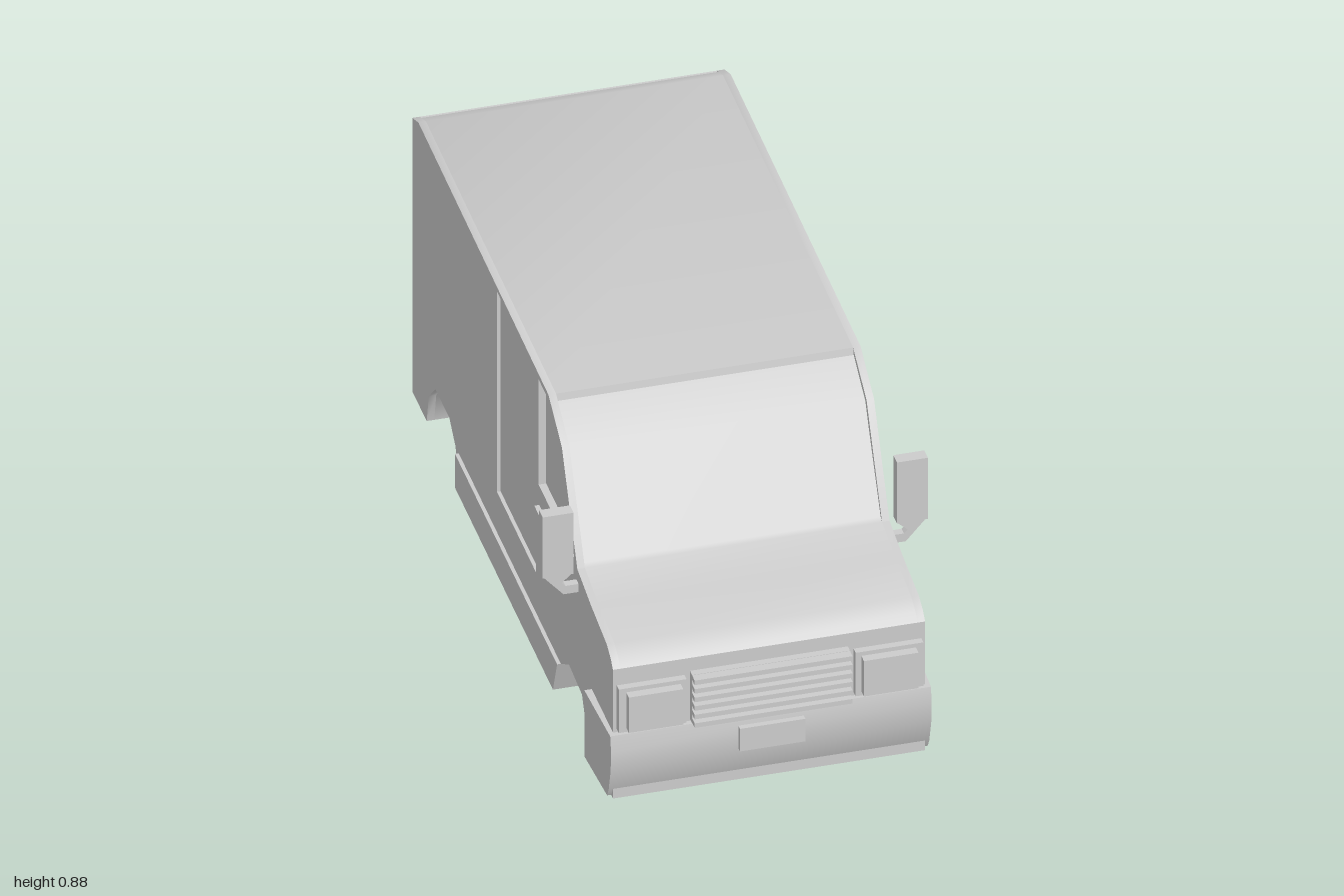
import * as THREE from 'three';
import { toCreasedNormals } from 'three/addons/utils/BufferGeometryUtils.js';

const material = new THREE.MeshStandardMaterial({ color: 0xcccccc });
const WIDE = 0.415, CORE = 0.395; // half widths of the outer skin and the inner core

const vecs = (pts) => pts.map(([a, b]) => new THREE.Vector2(a, b));
const rect = (a0, b0, a1, b1) => [[a0, b0], [a1, b0], [a1, b1], [a0, b1]];

function shapeOf(pts, holes = []) {
  const shape = new THREE.Shape(vecs(pts));
  for (const h of holes) shape.holes.push(new THREE.Path(vecs(h)));
  return shape;
}

export function createModel() {
  const model = new THREE.Group();

  const add = (name, geometry) => {
    const mesh = new THREE.Mesh(geometry, material);
    mesh.name = name;
    model.add(mesh);
    return mesh;
  };
  const extrude = (pts, depth, holes) =>
    new THREE.ExtrudeGeometry(shapeOf(pts, holes), { depth, bevelEnabled: false });

  // (z, y) outline extruded across the vehicle from x0 to x1
  const across = (pts, x0, x1, holes) => {
    const g = extrude(pts, x1 - x0, holes);
    g.rotateY(-Math.PI / 2);
    g.translate(x1, 0, 0);
    return toCreasedNormals(g, 0.62);
  };
  // (x, y) outline extruded lengthwise from z0 to z1
  const along = (pts, z0, z1, holes) => extrude(pts, z1 - z0, holes).translate(0, 0, z0);
  const box = (name, x0, x1, y0, y1, z0, z1) =>
    add(name, new THREE.BoxGeometry(x1 - x0, y1 - y0, z1 - z0)
      .translate((x0 + x1) / 2, (y0 + y1) / 2, (z0 + z1) / 2));

  // Side outline pieces, given as (z, y)
  const hood = [[0.955, 0.02], [0.955, 0.42], [0.935, 0.44], [0.895, 0.46], [0.74, 0.48], [0.61, 0.505]];
  const roof = [[0.33, 0.862], [-0.93, 0.875]];
  const underside = [
    [-0.85, 0], [-0.83, 0.09], [-0.765, 0.155], [-0.63, 0.155], [-0.57, 0.105], [-0.54, 0],
    [0.41, 0], [0.45, 0.105], [0.53, 0.155], [0.655, 0.145], [0.68, 0.1], [0.75, 0.02],
  ];

  // Inner core with the recessed windscreen and rear
  add('bodyCore', across([
    ...hood, [0.597, 0.512], [0.447, 0.772], [0.335, 0.842], ...roof,
    [-0.975, 0.856], [-0.975, 0], ...underside,
  ], -CORE, CORE));

  // Outer side skins with window, door and panel openings
  const outline = [...hood, [0.46, 0.785], ...roof, [-0.99, 0.85], [-0.99, 0], ...underside];
  const cabWindow = [[0.235, 0.52], [0.58, 0.52], [0.45, 0.773], [0.33, 0.847], [0.235, 0.847]];
  const door = rect(-0.17, 0.23, 0.21, 0.853);
  const doorInner = rect(-0.165, 0.235, 0.2, 0.848);
  const doorWindow = rect(-0.125, 0.545, 0.165, 0.815);
  const sidePanel = rect(-0.485, 0.4, -0.215, 0.49);
  const sill = [[-0.54, 0], [0.41, 0], [0.45, 0.105], [-0.54, 0.105]];

  for (const s of [-1, 1]) {
    const left = s > 0;
    const side = left ? 'left' : 'right';
    const span = (pts, a, b, holes) => across(pts, Math.min(s * a, s * b), Math.max(s * a, s * b), holes);
    add(side + 'BodySide', span(outline, CORE, WIDE, left ? [cabWindow, door, sidePanel] : [cabWindow, door]));
    add(side + 'Door', span(doorInner, CORE, 0.407, left ? [doorWindow] : []));
    add(side + 'Sill', span(sill, 0.41, 0.425));
    add(side + 'DoorHandle', span(rect(0.24, 0.43, 0.31, 0.46), 0.41, 0.428));

    // Mirror on its cranked arm
    const mx = (pts) => pts.map(([x, y]) => [s * x, y]);
    add(side + 'MirrorArm', along(mx([
      [0.41, 0.442], [0.455, 0.442], [0.51, 0.505], [0.43, 0.505], [0.46, 0.478], [0.45, 0.467], [0.41, 0.467],
    ]), 0.6, 0.622));
    add(side + 'Mirror', along(mx(rect(0.43, 0.505, 0.512, 0.695)), 0.593, 0.628));

    // Lights
    const bar = (name, x0, x1, ...rest) => box(side + name, Math.min(s * x0, s * x1), Math.max(s * x0, s * x1), ...rest);
    bar('HeadlightSurround', 0.225, 0.405, 0.235, 0.37, 0.95, 0.975);
    bar('Headlight', 0.24, 0.385, 0.248, 0.358, 0.97, 1);
    bar('TailLight', 0.315, 0.405, 0.13, 0.36, -1, -0.985);
    // Rear door leaf, sunk into the rear opening
    bar('RearDoor', 0.002, 0.24, 0.115, 0.825, -0.982, -0.97);
  }

  // Rear skin with openings for the doors and plate
  add('rearPanel', along(rect(-CORE, 0, CORE, 0.85), -0.99, -0.975,
    [rect(-0.245, 0.11, 0.245, 0.83), rect(-0.12, 0.012, 0.12, 0.08)]));
  box('rearPlate', -0.115, 0.115, 0.016, 0.076, -0.984, -0.97);

  // Grille: backing plate and slats
  box('grilleBacking', -0.21, 0.21, 0.23, 0.38, 0.95, 0.975);
  for (let i = 0; i < 6; i++) {
    const y = 0.232 + i * 0.0266;
    box('grilleSlat', -0.21, 0.21, y, y + 0.014, 0.97, 1);
  }

  // Front bumper, narrowing towards its face
  const bumper = across([
    [0.75, 0.02], [0.75, 0.225], [0.97, 0.225], [0.978, 0.18], [0.974, 0.12], [0.955, 0.05], [0.94, 0.022],
  ], -0.435, 0.435);
  const p = bumper.attributes.position;
  for (let i = 0; i < p.count; i++) {
    if (p.getZ(i) > 0.9) p.setX(i, p.getX(i) * 0.98);
  }
  add('frontBumper', bumper);
  box('frontPlate', -0.087, 0.087, 0.13, 0.2, 0.965, 0.99);

  return model;
}
